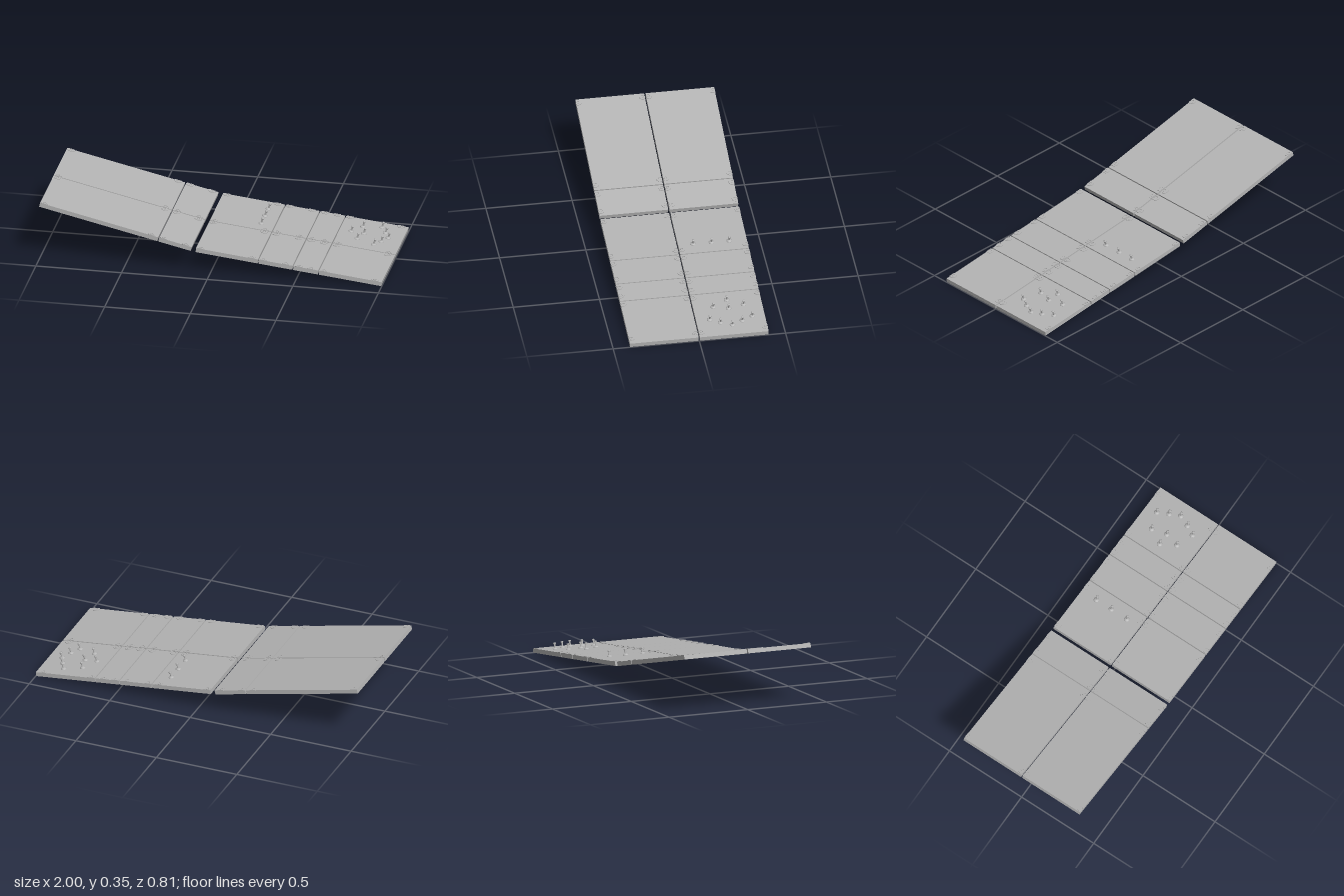
import * as THREE from 'three';

const grey = new THREE.MeshStandardMaterial({ color: 0xb4b4b4 });
grey.name = 'plain grey';

const THICK = 0.025, HALF = 0.402, GAP = 0.004;

function add(parent, name, geometry, x = 0, y = 0, z = 0) {
  const mesh = new THREE.Mesh(geometry, grey);
  mesh.name = name;
  mesh.position.set(x, y, z);
  parent.add(mesh);
  return mesh;
}

// D-shaped corner fitting, its straight side towards -z, with a round recess
function fittingGeometry() {
  const r = 0.021, a = Math.asin(0.012 / r);
  const shape = new THREE.Shape();
  shape.absarc(0, 0, r, Math.PI - a, Math.PI * 2 + a, false);
  shape.closePath();
  const hole = new THREE.Path();
  hole.absarc(0, 0, 0.0105, 0, Math.PI * 2, true);
  shape.holes.push(hole);
  const g = new THREE.ExtrudeGeometry(shape, { depth: 0.006, bevelEnabled: false, curveSegments: 20 });
  return g.rotateX(-Math.PI / 2);
}
const fitting = fittingGeometry();
const screw = new THREE.CylinderGeometry(0.006, 0.007, 0.006, 16);

const lathe = (pts) => new THREE.LatheGeometry(pts.map((p) => new THREE.Vector2(...p)), 16);
const pegBase = lathe([[0.016, 0], [0.016, 0.003], [0.012, 0.006], [0.006, 0.009], [0, 0.01]]);
const pegStem = lathe([[0.005, 0], [0.0045, 0.022], [0.008, 0.027], [0.008, 0.031], [0.005, 0.033], [0, 0.0335]]);

// Peg with a flat foot and a stem leaning down the slope
function addPeg(parent, x, z) {
  const peg = new THREE.Group();
  peg.name = 'peg';
  peg.position.set(x, 0, z);
  add(peg, 'pegFoot', pegBase);
  add(peg, 'pegStem', pegStem, 0, 0.004, 0).rotation.z = -0.2;
  parent.add(peg);
}

// A sloping section: panels in two rows, with fittings at every panel corner
function addSection(root, name, x0, y0, angle, panels, pegs) {
  const section = new THREE.Group();
  section.name = name;
  section.position.set(x0, y0, 0);
  section.rotation.z = -angle;
  root.add(section);
  const along = (x) => (x - x0) / Math.cos(angle);

  for (const [start, end, fit1, fit2] of panels) {
    const a = along(start), b = along(end);
    for (const side of [-1, 1]) {
      add(section, 'panel', new THREE.BoxGeometry(b - a, THICK, HALF - GAP),
        (a + b) / 2, -THICK / 2, side * (HALF + GAP) / 2);
      for (const fx of [fit1, fit2]) {
        for (const outer of [true, false]) {
          const z = side * (outer ? 0.391 : GAP + 0.012);
          const f = add(section, 'cornerFitting', fitting, along(fx), -0.003, z);
          f.rotation.y = (side < 0) === outer ? 0 : Math.PI;
          add(section, 'fittingScrew', screw, along(fx), -0.001, z);
        }
      }
    }
  }
  for (const [x, z] of pegs) addPeg(section, along(x), z);
}

export function createModel() {
  const model = new THREE.Group();
  model.name = 'slopingPanels';

  // Panels: start x, end x, then the x of the two fitting rows
  addSection(model, 'steepSection', -0.9945, 0.353, Math.atan(0.228), [
    [-0.9945, -0.305, -0.97, -0.345],
    [-0.299, -0.11, -0.275, -0.147],
  ], []);

  addSection(model, 'shallowSection', -0.084, 0.147, Math.atan(0.1125), [
    [-0.084, 0.277, -0.06, 0.238],
    [0.283, 0.479, 0.307, 0.438],
    [0.485, 0.629, 0.513, 0.585],
    [0.635, 1, 0.66, 0.957],
  ], [
    [0.2, -0.3], [0.2, -0.197], [0.2, -0.09],
    [0.753, -0.295], [0.857, -0.33], [0.89, -0.267],
    [0.702, -0.205], [0.775, -0.205], [0.918, -0.205],
    [0.89, -0.14], [0.753, -0.12], [0.857, -0.083],
  ]);
  return model;
}
